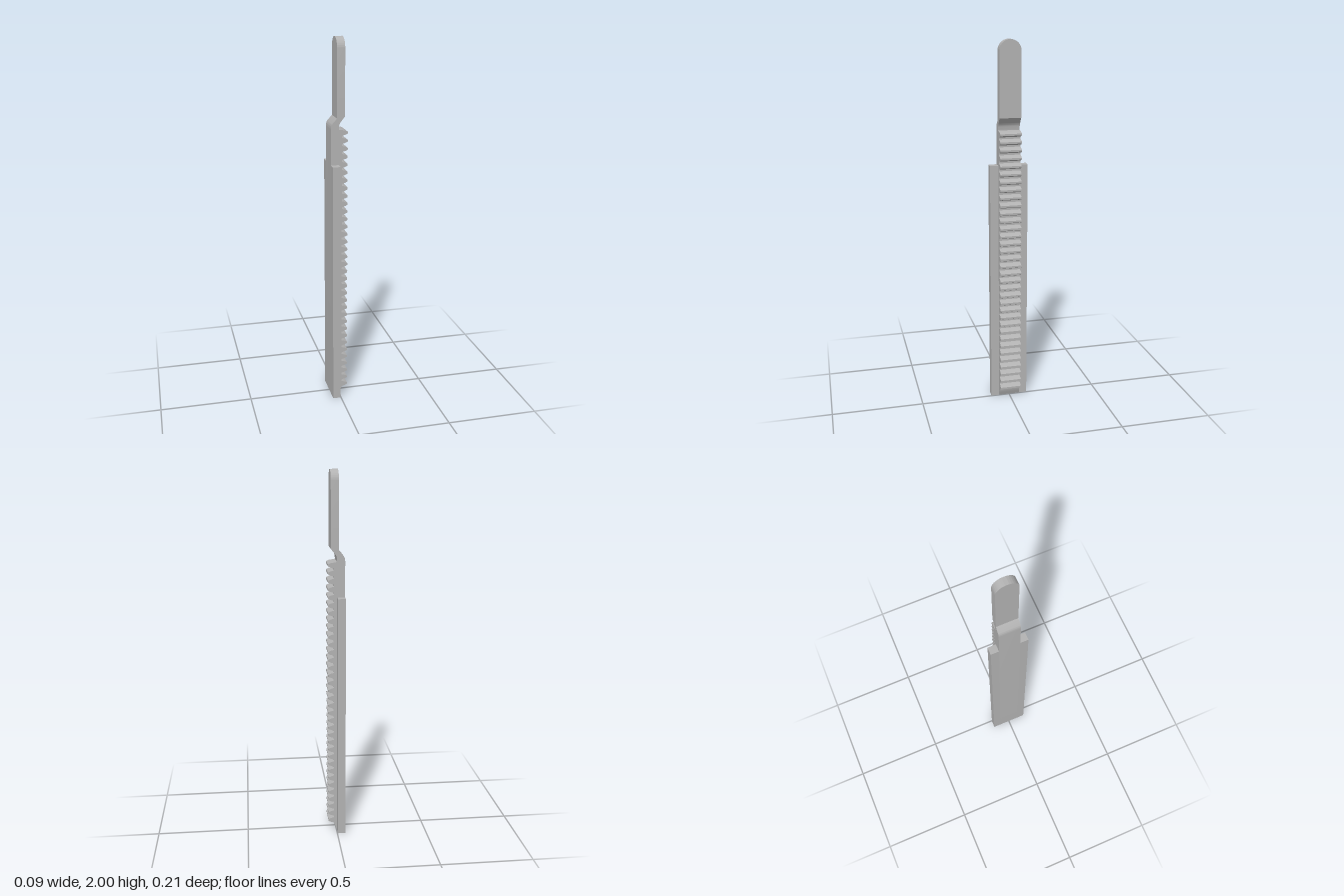
import * as THREE from 'three';
import { toCreasedNormals } from 'three/addons/utils/BufferGeometryUtils.js';

export function createModel() {
  const model = new THREE.Group();
  model.name = 'toothedRack';
  const grey = new THREE.MeshStandardMaterial({ color: 0xb2b2b2 });
  grey.name = 'grey';

  const add = (name, geometry) => {
    const mesh = new THREE.Mesh(geometry, grey);
    mesh.name = name;
    model.add(mesh);
    return mesh;
  };

  const half = 0.058; // half width of the bar
  const back = -0.045, front = -0.003;
  const gripBack = -0.012, gripFront = 0.03;
  const neckTop = 1.6;

  // Rack bar: side profile with teeth and a cranked neck
  const teeth = 35, first = 0.062, last = 1.515;
  const pitch = (last - first) / (teeth - 1);
  const root = 0.0135, tip = 0.045;
  const bar = new THREE.Shape();
  bar.moveTo(back, 0);
  bar.lineTo(front, 0);
  bar.lineTo(0.004, 0.018);
  bar.lineTo(root, 0.043);
  for (let i = 0; i < teeth; i++) {
    const y = first + i * pitch;
    bar.lineTo(root, y - 0.0165);
    bar.lineTo(0.031, y - 0.0115);
    bar.lineTo(tip, y - 0.005);
    bar.lineTo(tip, y + 0.005);
    bar.lineTo(0.031, y + 0.0115);
    if (i < teeth - 1) bar.lineTo(root, y + 0.0165);
  }
  bar.lineTo(front, 1.532);
  bar.quadraticCurveTo(-0.003, 1.562, 0.008, 1.572);
  bar.lineTo(gripFront, neckTop);
  bar.lineTo(gripBack, neckTop);
  bar.lineTo(gripBack, 1.59);
  bar.lineTo(-0.035, 1.566);
  bar.quadraticCurveTo(back, 1.554, back, 1.535);
  bar.closePath();
  const barGeometry = new THREE.ExtrudeGeometry(bar, { depth: 2 * half, bevelEnabled: false, curveSegments: 6 });
  barGeometry.translate(0, 0, -half);
  add('rackBar', toCreasedNormals(barGeometry, 0.4));

  // Flat grip with a round end
  const grip = new THREE.Shape();
  grip.moveTo(-half, neckTop);
  grip.lineTo(half, neckTop);
  grip.lineTo(half, 2 - half);
  grip.absarc(0, 2 - half, half, 0, Math.PI, false);
  grip.closePath();
  const gripGeometry = new THREE.ExtrudeGeometry(grip, {
    depth: gripFront - gripBack, bevelEnabled: false, curveSegments: 32,
  });
  gripGeometry.rotateY(Math.PI / 2);
  gripGeometry.translate(gripBack, 0, 0);
  add('grip', toCreasedNormals(gripGeometry, 0.5));

  // Guide flanges on both sides of the bar
  const flangeWidth = 0.103 - half, flangeHeight = 1.345;
  for (const side of [-1, 1]) {
    const flange = add(side > 0 ? 'frontFlange' : 'backFlange',
      new THREE.BoxGeometry(front - back, flangeHeight, flangeWidth));
    flange.position.set((front + back) / 2, flangeHeight / 2, side * (half + flangeWidth / 2));
  }
  return model;
}
